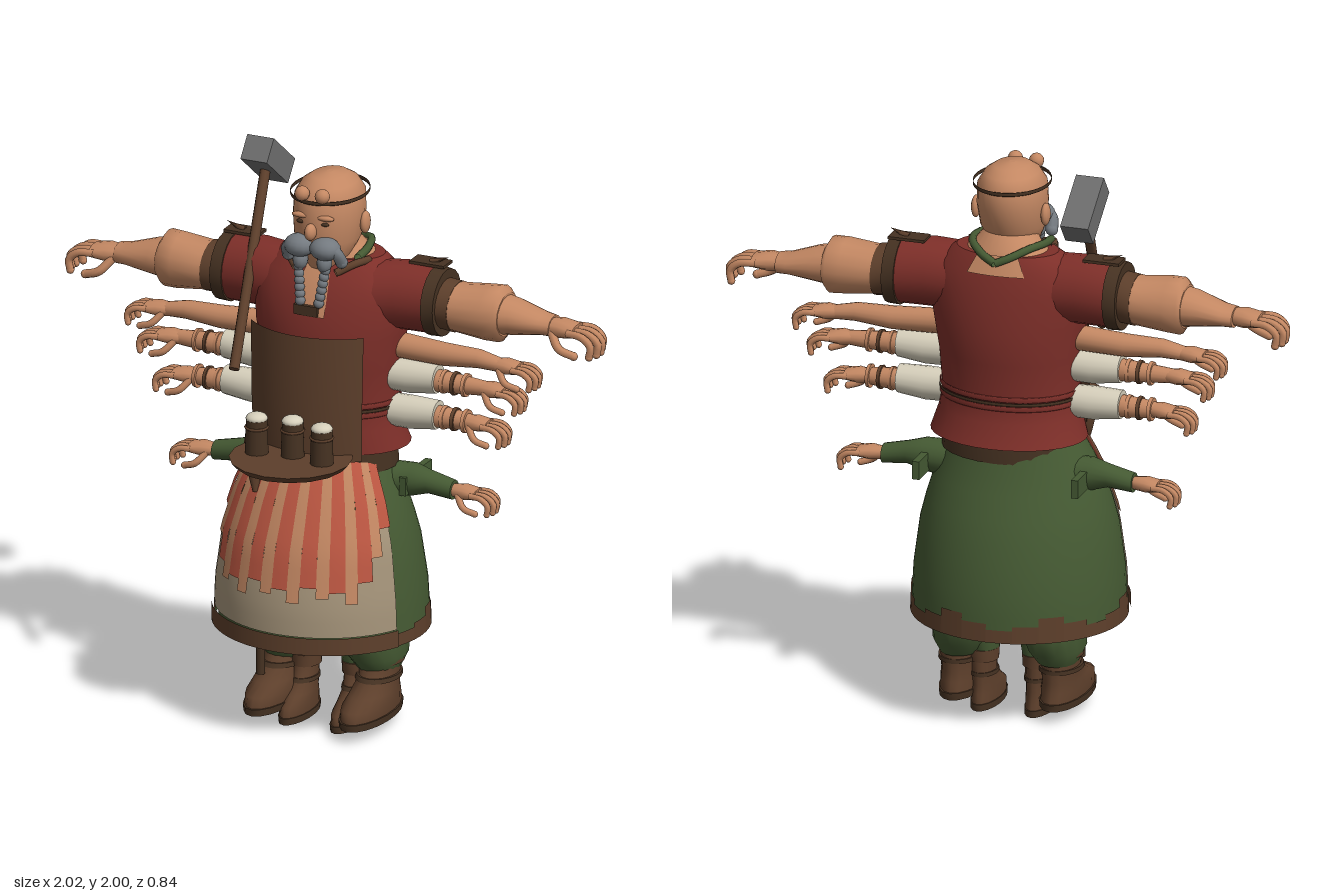
import * as THREE from 'three';

const mat = (name, hex) => {
  const m = new THREE.MeshStandardMaterial({ color: hex, side: THREE.DoubleSide });
  m.name = name;
  return m;
};
const skin = mat('skin', 0xc48863), red = mat('tunic red', 0x7e2f29), green = mat('green cloth', 0x455a33);
const brown = mat('leather', 0x5d3f2b), dark = mat('dark leather', 0x463222), cream = mat('cream linen', 0xd6cfbb);
const tan = mat('apron linen', 0xa5947a), orange = mat('stripe orange', 0xbd5742);
const grey = mat('beard grey', 0x747a80), steel = mat('steel', 0x6e6e6e);

// Skin over stacked ellipses; rows run upwards as [y, rx, rz, cx, cz]
function loft(rows, { n = 24, from = 0, to = Math.PI * 2, cap = true } = {}) {
  const closed = to - from > 6.28, cols = closed ? n : n + 1, pos = [], idx = [];
  const ring = ([y, rx, rz, cx = 0, cz = 0]) => {
    for (let j = 0; j < cols; j++) {
      const a = from + (to - from) * j / n;
      pos.push(cx + rx * Math.sin(a), y, cz + rz * Math.cos(a));
    }
  };
  rows.forEach(ring);
  for (let i = 0; i < rows.length - 1; i++) for (let j = 0; j < n; j++) {
    const k = (j + 1) % cols, a = i * cols + j, b = i * cols + k;
    idx.push(a, b, a + cols, b, b + cols, a + cols);
  }
  if (closed && cap) [rows[0], rows[rows.length - 1]].forEach((r, top) => {
    const s = pos.length / 3;
    ring(r);
    pos.push(r[3] || 0, r[0], r[4] || 0);
    for (let j = 0; j < n; j++) {
      const k = (j + 1) % n;
      if (top) idx.push(s + n, s + j, s + k); else idx.push(s + n, s + k, s + j);
    }
  });
  const g = new THREE.BufferGeometry();
  g.setAttribute('position', new THREE.Float32BufferAttribute(pos, 3));
  g.setIndex(idx);
  g.computeVertexNormals();
  return g;
}
// Limb along +x; rows are [x, y, z, ry, rz]
const limb = (rows, n = 16) =>
  loft(rows.map(([x, y, z, ry, rz]) => [x, ry, rz, -y, z]), { n }).rotateZ(-Math.PI / 2);
const ball = (x, y, z, rx, ry = rx, rz = rx) => new THREE.SphereGeometry(1, 14, 10).scale(rx, ry, rz).translate(x, y, z);
const box = (w, h, d, x, y, z) => new THREE.BoxGeometry(w, h, d).translate(x, y, z);
const tube = (pts, r) => new THREE.TubeGeometry(
  new THREE.CatmullRomCurve3(pts.map(p => new THREE.Vector3(...p))), 12, r, 8);
const hoop = (rx, rz, t, y, z) => new THREE.TorusGeometry(1, t, 8, 40).rotateX(Math.PI / 2)
  .scale(rx, 1, rz).translate(0, y, z);
function mirror(g) {
  const m = g.clone().scale(-1, 1, 1), i = m.index.array;
  for (let k = 0; k < i.length; k += 3) [i[k], i[k + 1]] = [i[k + 1], i[k]];
  return m;
}

export function createModel() {
  const model = new THREE.Group();
  const add = (name, g, m) => {
    const mesh = new THREE.Mesh(g, m);
    mesh.name = name;
    model.add(mesh);
  };
  const pair = (name, g, m) => {
    add(name + 'Left', g, m);
    add(name + 'Right', mirror(g), m);
  };

  // Tunic, waist and belt
  add('tunic', loft([[1.01, .275, .205, 0, -.115], [1.09, .25, .185, 0, -.1], [1.17, .24, .175, 0, -.1], [1.3, .25, .19, 0, -.1],
    [1.42, .27, .2, 0, -.1], [1.54, .285, .175, 0, -.105], [1.62, .26, .15, 0, -.117], [1.68, .18, .11, 0, -.13]], { n: 32 }), red);
  add('waistband', loft([[.94, .245, .185, 0, -.085], [1.04, .24, .18, 0, -.085]]), dark);
  for (const y of [1.145, 1.178]) add('belt', hoop(.245, .18, .01, y, -.1), red);
  add('beltCord', hoop(.248, .183, .006, 1.162, -.1), dark);
  const patchRows = [[1.62, .265, .155, 0, -.117], [1.685, .185, .115, 0, -.13]];
  add('chestSkin', loft([[1.5, .285, .187, 0, -.1], [1.54, .29, .18, 0, -.105], ...patchRows], { n: 8, from: -.2, to: .2 }), skin);
  add('napeSkin', loft(patchRows, { n: 8, from: Math.PI - .4, to: Math.PI + .4 }), skin);
  add('chestClasp', box(.09, .035, .02, -.01, 1.52, .08), dark);

  // Sleeves with leather trim and shoulder patches
  pair('sleeve', limb([[.15, 1.545, -.11, .12, .12], [.27, 1.555, -.12, .12, .115], [.4, 1.55, -.125, .115, .11]], 20), red);
  pair('sleeveTrim', limb([[.375, 1.55, -.125, .122, .118], [.42, 1.548, -.125, .118, .115]], 20), dark);
  pair('armBand', limb([[.42, 1.545, -.125, .088, .097], [.465, 1.54, -.125, .088, .1]], 20), brown);
  pair('shoulderPatch', box(.13, .01, .07, .35, 1.677, -.145), dark);
  pair('shoulderSpike', new THREE.ConeGeometry(.014, .07, 6).rotateZ(-1.2).translate(.385, 1.69, -.145), brown);

  // Hands: palm, four curled fingers and a thumb
  const hand = (x, y, z, s) => {
    pair('palm', limb([[x - .02 * s, y, z, .03 * s, .035 * s], [x + .04 * s, y, z, .036 * s, .052 * s],
      [x + .1 * s, y - .002 * s, z, .024 * s, .058 * s]], 12), skin);
    for (let i = 0; i < 4; i++) {
      const dz = (i - 1.5) * .032 * s, l = i % 3 ? 1 : .93, tip = [x + .183 * s * l, y - .075 * s, z + dz * 1.1];
      pair('finger', tube([[x + .08 * s, y, z + dz], [x + .15 * s * l, y - .004 * s, z + dz * 1.1],
        [x + .188 * s * l, y - .035 * s, z + dz * 1.1], tip], .0145 * s), skin);
      pair('fingertip', ball(...tip, .0145 * s), skin);
    }
    const t = [x + .11 * s, y - .08 * s, z + .055 * s];
    pair('thumb', tube([[x + .01 * s, y - .01 * s, z + .03 * s], [x + .055 * s, y - .06 * s, z + .06 * s], t], .016 * s), skin);
    pair('thumbTip', ball(...t, .016 * s), skin);
  };

  // Main arms: flared elbow, tapering forearm
  pair('upperArm', limb([[.38, 1.55, -.125, .085, .09], [.48, 1.54, -.125, .085, .1], [.58, 1.54, -.125, .097, .1],
    [.63, 1.54, -.13, .1, .092], [.645, 1.54, -.13, .075, .085]]), skin);
  pair('forearm', limb([[.6, 1.54, -.13, .075, .085], [.68, 1.538, -.13, .062, .077], [.78, 1.528, -.135, .038, .06],
    [.82, 1.525, -.135, .036, .05]]), skin);
  hand(.815, 1.525, -.13, .95);

  // Second pair: bare slim arms
  pair('slimArm', limb([[.2, 1.375, -.11, .045, .045], [.42, 1.365, -.11, .04, .042], [.55, 1.37, -.11, .032, .036],
    [.63, 1.36, -.11, .024, .028]]), skin);
  hand(.625, 1.36, -.11, .76);

  // Third and fourth pairs: cream cuffs and wrist bands
  for (const [y, x] of [[1.27, .575], [1.14, .515]]) {
    pair('creamSleeve', limb([[.2, y, -.1, .056, .056], [.3, y, -.1, .058, .058], [.4, y + .005, -.1, .05, .05]]), cream);
    pair('wristArm', limb([[.38, y, -.1, .04, .04], [.47, y, -.1, .034, .034], [x + .02, y, -.1, .024, .026]]), skin);
    for (const bx of [.42, .46, .5]) pair('wristBand', limb([[bx, y, -.1, .042, .042], [bx + .012, y, -.1, .04, .04]]), bx === .46 ? brown : skin);
    hand(x, y, -.1, .76);
  }

  // Fifth pair: green sleeves at the hips
  pair('hipSleeve', limb([[.19, .88, -.11, .065, .07], [.3, .89, -.12, .058, .055], [.36, .89, -.12, .04, .042],
    [.45, .875, -.12, .034, .036]]), green);
  pair('hipFlap', box(.025, .065, .21, .285, .88, -.16), green);
  hand(.465, .875, -.12, .74);

  // Head, neck and face
  add('neck', loft([[1.655, .175, .115, 0, -.13], [1.695, .12, .105, 0, -.13], [1.75, .08, .085, 0, -.1]]), skin);
  add('head', loft([[1.65, .05, .06, 0, -.04], [1.69, .085, .1, 0, -.06], [1.75, .112, .13, 0, -.07], [1.83, .12, .145, 0, -.08],
    [1.9, .117, .142, 0, -.085], [1.94, .093, .115, 0, -.085], [1.963, .06, .075, 0, -.085], [1.972, .01, .012, 0, -.085]], { n: 28 }), skin);
  add('nose', ball(0, 1.8, .07, .02, .03, .028), skin);
  pair('ear', ball(.125, 1.8, -.1, .016, .04, .028), skin);
  pair('eye', ball(.045, 1.828, .052, .016, .007, .008), dark);
  pair('brow', ball(.045, 1.85, .05, .035, .01, .014), skin);
  add('headband', hoop(.131, .155, .007, 1.905, -.085), dark);
  pair('foreheadKnob', ball(.038, 1.93, .056, .026), skin);

  // Moustache and braided beard
  pair('moustache', ball(.048, 1.742, .055, .055, .04, .05), grey);
  pair('moustacheTip', tube([[.06, 1.755, .07], [.092, 1.73, .055], [.1, 1.695, .035]], .022), grey);
  pair('moustacheCurl', ball(.1, 1.695, .035, .022), grey);
  pair('braidTop', ball(.045, 1.69, .055, .026, .035, .03), grey);
  for (let i = 0; i < 6; i++) pair('braid', ball(.05 - i * .003, 1.665 - i * .023, .058 + i * .004, .018, .018, .017), grey);
  pair('collar', tube([[.15, 1.675, -.08], [.125, 1.675, -.02], [.075, 1.65, .03]], .014), brown);
  // Cord hanging from the neck down the back
  pair('neckCord', tube([[.125, 1.69, -.04], [.125, 1.7, -.12], [.1, 1.705, -.2], [.05, 1.685, -.25], [0, 1.665, -.27]], .014), green);

  // Skirt profile: [y, rx, rz, cz]
  const prof = [[.35, .37, .35, -.067], [.5, .365, .343, -.066], [.7, .34, .3, -.064], [.85, .295, .237, -.065], [.95, .25, .19, -.07], [1.0, .225, .17, -.08]];
  const skirt = (y0, y1, from, to, off, n) => loft(Array.from({ length: 9 }, (_, i) => {
    const y = y0 + (y1 - y0) * i / 8, k = Math.max(1, prof.findIndex(p => p[0] >= y - 1e-6));
    const a = prof[k - 1], b = prof[k], t = (y - a[0]) / (b[0] - a[0]), mix = c => a[c] + (b[c] - a[c]) * t;
    return [y, mix(1) + off, mix(2) + off, -.02, mix(3)];
  }), { n, from, to, cap: false });
  const edge = 1.18, back = Math.PI * 2 - edge;
  add('skirt', skirt(.35, 1, edge, back, 0, 32), green);
  add('underskirt', skirt(.35, 1, -edge, edge, -.012, 24), green);
  // Uneven hem painted around the skirt
  for (let i = 0; i < 16; i++) {
    const a = edge + (back - edge) * i / 16, b = edge + (back - edge) * (i + 1) / 16;
    add('skirtHem', skirt(.35, [.395, .41, .44, .415][i % 4], a, b, .004, 2), brown);
  }
  add('apronHem', skirt(.35, .41, -edge, edge, .012, 24), brown);
  add('apronPanel', skirt(.41, .82, -edge, edge, .004, 24), tan);
  // Stripes alternate in width and end higher at the apron's sides
  for (let i = 0; i < 17; i++) {
    const step = 2 * edge / 17, wide = .06 * step, a = -edge + step * i, side = Math.min(i, 16 - i);
    const low = [.77, .68, .6][side] ?? [.57, .53, .585, .55][i % 4];
    const grow = i % 2 ? -wide : wide;
    add('apronStripe', skirt(low, .995, a - (i > 0 ? grow : 0), a + step + (i < 16 ? grow : 0), .014, 3), i % 2 ? skin : orange);
  }

  // Leather bib, pouch, tray and mugs
  add('bib', loft([[1.0, .28, .25, -.01, -.1], [1.2, .285, .26, -.01, -.1], [1.45, .29, .255, -.01, -.1]], { n: 16, from: -.82, to: .82 }), brown);
  add('pouch', loft([[.86, .008, .01, -.17, .15], [.94, .03, .03, -.18, .13], [1.0, .05, .045, -.18, .11], [1.07, .045, .04, -.18, .1]], { n: 12 }), brown);
  add('tray', new THREE.CylinderGeometry(.212, .19, .024, 16).translate(-.01, 1.016, .202), brown);
  for (const [x, z] of [[-.135, .21], [-.012, .185], [.11, .21]]) {
    add('mug', new THREE.CylinderGeometry(.037, .041, .12, 14).translate(x, 1.088, z), dark);
    add('mugRim', new THREE.TorusGeometry(.038, .005, 6, 16).rotateX(Math.PI / 2).translate(x, 1.12, z), brown);
    add('foam', ball(x, 1.152, z, .038, .02, .038), cream);
  }

  // Hammer slung over the right shoulder
  const end = new THREE.Vector3(-.225, 1.31, .2), top = new THREE.Vector3(-.322, 1.89, -.255);
  const dir = top.clone().sub(end);
  const handle = new THREE.CylinderGeometry(.018, .018, dir.length(), 10)
    .applyQuaternion(new THREE.Quaternion().setFromUnitVectors(new THREE.Vector3(0, 1, 0), dir.clone().normalize()))
    .translate(...end.clone().add(top).multiplyScalar(.5).toArray());
  add('hammerHandle', handle, brown);
  add('hammerHead', new THREE.BoxGeometry(.1, .09, .21).rotateX(-.66).translate(-.323, 1.9, -.267), steel);

  // Trousers, two pairs of boots and a staff end
  pair('trouserLeg', loft([[.2, .07, .09, .175, -.11], [.25, .098, .13, .17, -.11], [.35, .11, .175, .155, -.12], [.6, .1, .15, .12, -.1]], { n: 16 }), green);
  pair('innerLeg', loft([[.18, .04, .05, .09, -.1], [.3, .06, .08, .09, -.1], [.6, .07, .09, .08, -.1]], { n: 14 }), green);
  const boot = (x, y, z, sx, sy, sz) => {
    const at = rows => loft(rows.map(([h, rx, rz, cz]) => [y + h * sy, rx * sx, rz * sz, x, z + cz * sz]), { n: 18 });
    pair('bootSole', at([[0, .058, .195, -.01], [.025, .06, .198, -.01]]), dark);
    pair('boot', at([[.025, .056, .19, -.01], [.06, .057, .18, -.01], [.09, .052, .14, -.04], [.13, .048, .1, -.08],
      [.2, .052, .085, -.09]]), brown);
    pair('bootCuff', at([[.18, .06, .092, -.09], [.225, .063, .096, -.09]]), brown);
    pair('bootStrap', at([[.125, .056, .108, -.075], [.14, .055, .102, -.08]]), dark);
  };
  boot(.18, .045, -.02, 1.35, 1, .97);
  boot(.097, 0, -.04, .85, .95, .66);
  add('staffEnd', new THREE.CylinderGeometry(.016, .016, .24, 10).translate(-.2, .28, .045), dark);

  return model;
}
